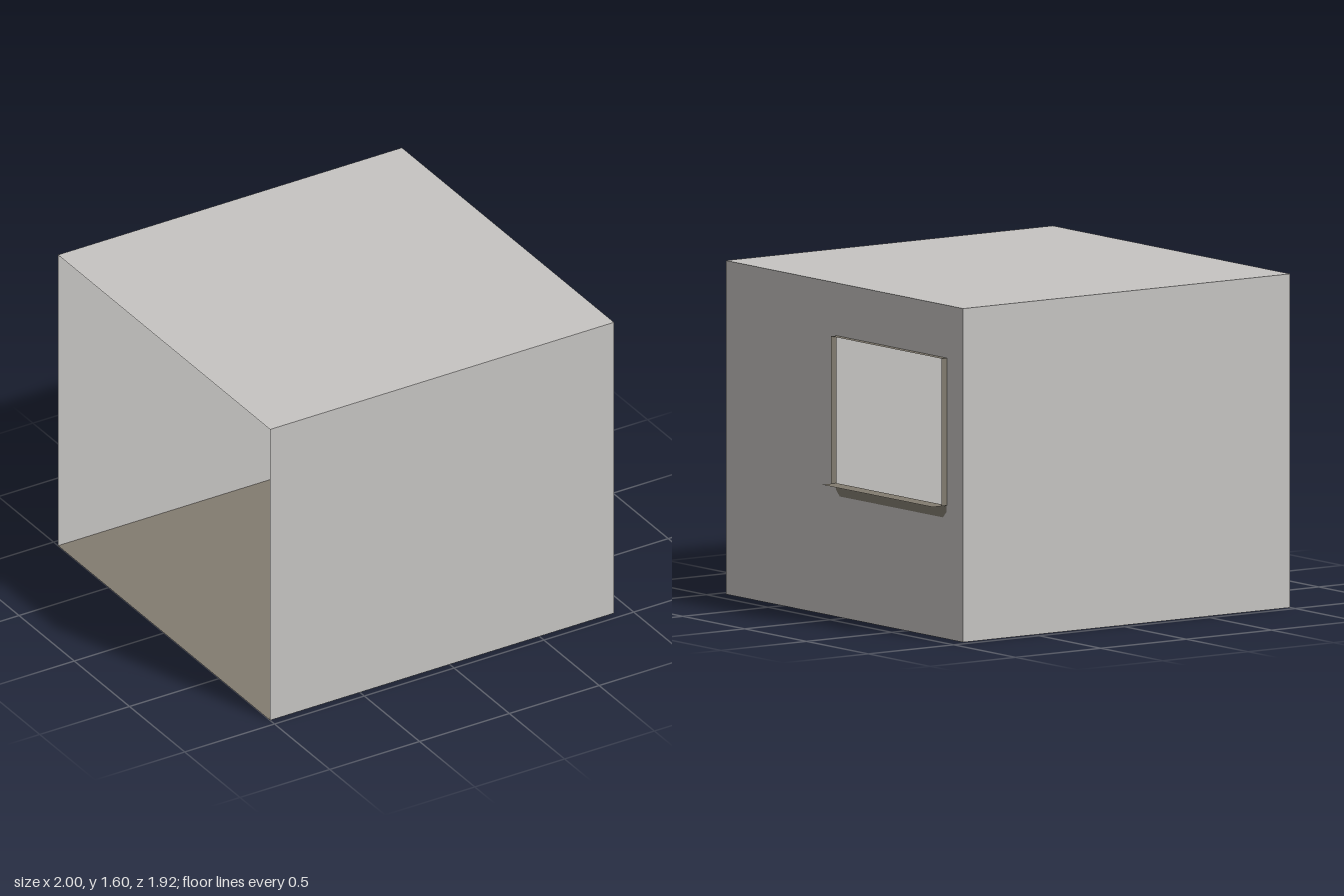
import * as THREE from 'three';

const X0 = -1, X1 = 0.915, H = 1.6, Z = 0.96;            // room shell
const WZ0 = -0.83, WZ1 = 0.065, WY0 = 0.64, WY1 = 1.347; // window opening
const FRAME_X = 0.947, SILL_X = 1.0;

export function createModel() {
  const group = new THREE.Group();
  const wall = new THREE.MeshStandardMaterial({ color: 0xc6c4c2, side: THREE.DoubleSide });
  wall.name = 'wall grey';
  const trim = new THREE.MeshStandardMaterial({ color: 0x827c70, side: THREE.DoubleSide });
  trim.name = 'taupe';

  const add = (name, geometry, material, x = 0, y = 0, z = 0) => {
    const mesh = new THREE.Mesh(geometry, material);
    mesh.name = name;
    mesh.position.set(x, y, z);
    group.add(mesh);
    return mesh;
  };
  const sheet = (w, d) => new THREE.PlaneGeometry(w, d).rotateX(-Math.PI / 2);

  // Shape drawn in (-z, y), turned to face +x
  const polygon = (pts) => new THREE.Shape(pts.map(([z, y]) => new THREE.Vector2(-z, y)));
  const facingX = (shape) => new THREE.ShapeGeometry(shape).rotateY(Math.PI / 2);

  // Room shell, open on the -x side
  const w = X1 - X0, cx = (X0 + X1) / 2;
  add('floor', sheet(w, 2 * Z), trim, cx, 0, 0);
  add('ceiling', sheet(w, 2 * Z), wall, cx, H, 0);
  add('frontWall', new THREE.PlaneGeometry(w, H), wall, cx, H / 2, Z);
  add('backWall', new THREE.PlaneGeometry(w, H).rotateY(Math.PI), wall, cx, H / 2, -Z);

  // Side wall with the window opening
  const side = polygon([[Z, 0], [-Z, 0], [-Z, H], [Z, H]]);
  side.holes.push(polygon([[WZ1, WY0], [WZ1, WY1], [WZ0, WY1], [WZ0, WY0]]));
  add('windowWall', facingX(side), wall, X1, 0, 0);

  // Thin window surround: two jambs and a head
  const depth = FRAME_X - X1, fx = (X1 + FRAME_X) / 2;
  const wz = (WZ0 + WZ1) / 2, len = WZ1 - WZ0;
  for (const [name, z] of [['rearJamb', WZ0], ['frontJamb', WZ1]]) {
    add(name, new THREE.PlaneGeometry(depth, WY1 - WY0), trim, fx, (WY0 + WY1) / 2, z);
  }
  add('windowHead', sheet(depth, len), trim, fx, WY1, wz);

  // Projecting sill and the apron with clipped corners under it
  add('windowSill', sheet(SILL_X - X1, len), trim, (X1 + SILL_X) / 2, WY0, wz);
  const apron = polygon([
    [WZ1, WY0], [WZ1, 0.61], [WZ1 - 0.03, 0.58],
    [WZ0 + 0.03, 0.58], [WZ0, 0.61], [WZ0, WY0],
  ]);
  add('sillApron', facingX(apron), trim, X1 + 0.003, 0, 0);

  return group;
}
